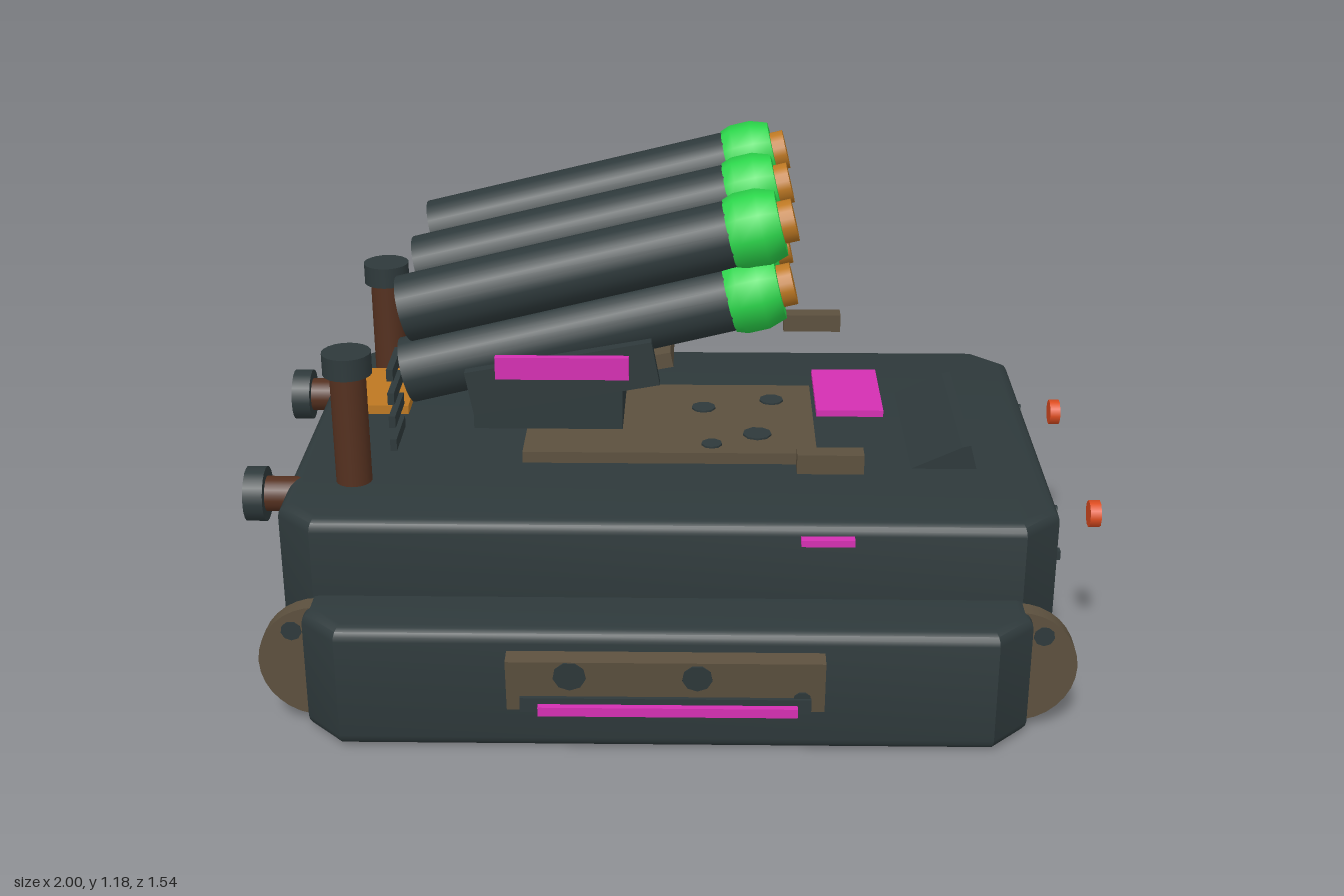
import * as THREE from 'three';
import { toCreasedNormals } from 'three/addons/utils/BufferGeometryUtils.js';

const mat = (name, color) => {
  const m = new THREE.MeshStandardMaterial({ color });
  m.name = name;
  return m;
};

export function createModel() {
  const model = new THREE.Group();
  model.name = 'launcherVehicle';
  const dark = mat('dark slate', 0x2e393b);
  const camo = mat('camo brown', 0x5c503e);
  const green = mat('bright green', 0x2bd44a);
  const magenta = mat('magenta', 0xd42fb2);
  const orange = mat('orange', 0xbd7822);
  const red = mat('red orange', 0xdc4c20);
  const rust = mat('rust brown', 0x54301f);

  const add = (name, geo, material, x, y, z, parent = model) => {
    const m = new THREE.Mesh(geo, material);
    m.name = name;
    m.position.set(x, y, z);
    parent.add(m);
    return m;
  };
  const box = (name, material, w, h, d, x, y, z, parent) =>
    add(name, new THREE.BoxGeometry(w, h, d), material, x, y, z, parent);
  const cyl = (name, material, r, h, x, y, z, parent, sides = 20) =>
    add(name, new THREE.CylinderGeometry(r, r, h, sides), material, x, y, z, parent);

  // Block with cut plan corners and softly rounded top and bottom edges
  const chamferBlock = (w, h, d, cut, bevel) => {
    const a = w / 2 - bevel, b = d / 2 - bevel, c = cut - bevel * 0.6;
    const pts = [[a, b - c], [a - c, b], [c - a, b], [-a, b - c], [-a, c - b], [c - a, -b], [a - c, -b], [a, c - b]];
    const geo = new THREE.ExtrudeGeometry(new THREE.Shape(pts.map((p) => new THREE.Vector2(...p))), {
      depth: h - 2 * bevel, bevelEnabled: true, bevelSize: bevel, bevelThickness: bevel, bevelSegments: 4,
    });
    geo.translate(0, 0, bevel - h / 2);
    geo.rotateX(-Math.PI / 2);
    return toCreasedNormals(geo, 0.6);
  };

  // Hull and belly plate
  add('hull', chamferBlock(1.78, 0.325, 1.06, 0.085, 0.03), dark, -0.01, 0.332, 0);
  box('bellyPlate', dark, 0.78, 0.045, 0.54, 0.03, 0.097, 0);

  // Deck details
  box('deckPlate', camo, 0.7, 0.035, 0.42, -0.01, 0.505, 0);
  [[0.2, 0.1, 0.035], [0.24, -0.11, 0.03], [0.07, -0.06, 0.03], [0.09, 0.16, 0.025]].forEach(([x, z, r]) =>
    cyl('deckSpot', dark, r, 0.006, x, 0.524, z, model, 9));
  const wedge = new THREE.Shape([[0.53, 0.48], [0.72, 0.48], [0.7, 0.555], [0.68, 0.55]].map((p) => new THREE.Vector2(...p)));
  add('deckWedge', new THREE.ExtrudeGeometry(wedge, { depth: 0.46, bevelEnabled: false }), dark, 0, 0, -0.23);
  box('frontHatch', magenta, 0.16, 0.016, 0.26, 0.42, 0.592, 0);
  box('rearHatch', orange, 0.15, 0.022, 0.24, -0.715, 0.59, 0);

  // Launcher mount and its tilted camouflage cradle
  box('mountBox', dark, 0.35, 0.1, 0.45, -0.295, 0.64, 0);
  const cradle = new THREE.Group();
  cradle.name = 'cradle';
  cradle.position.set(-0.232, 0.733, 0);
  cradle.rotation.z = 0.19;
  model.add(cradle);
  box('cradlePlate', camo, 0.465, 0.036, 0.5, 0, 0, 0, cradle);
  [[0.08, -0.11, 0.045], [0.18, 0.11, 0.05], [-0.13, 0.13, 0.03]].forEach(([x, z, r]) =>
    cyl('cradleSpot', dark, r, 0.006, x, 0.019, z, cradle, 9));

  // Six launch tubes: dark barrel, green collar, orange tip
  const collar = new THREE.LatheGeometry(
    [[0.04, 0], [0.079, 0], [0.088, 0.025], [0.088, 0.075], [0.074, 0.117], [0.0, 0.118]].map((p) => new THREE.Vector2(...p)), 10);
  for (const z of [-0.283, 0, 0.283]) {
    for (const y of [0.762, 0.912]) {
      const tube = new THREE.Group();
      tube.name = 'launchTube';
      tube.position.set(-0.61, y, z);
      tube.rotation.z = 0.24 - Math.PI / 2;
      model.add(tube);
      cyl('barrel', dark, 0.076, 0.77, 0, 0.385, 0, tube);
      add('collar', toCreasedNormals(collar, 0.7), green, 0, 0.758, 0, tube);
      cyl('tip', orange, 0.048, 0.05, 0, 0.882, 0, tube, 16);
    }
  }

  // Everything mirrored on both flanks
  for (const s of [1, -1]) {
    // Track pod with a disc at each end
    add('trackPod', chamferBlock(1.64, 0.3, 0.27, 0.085, 0.03), dark, -0.01, 0.157, s * 0.555);
    for (const x of [-0.8, 0.78]) {
      const end = Math.sign(x);
      const disc = cyl('trackDisc', camo, 0.14, 0.046, x, 0.165, s * 0.56, model, 32);
      disc.rotation.x = Math.PI / 2;
      const spot = cyl('discSpot', dark, 0.024, 0.05, x + end * 0.06, 0.245, s * 0.56, model, 9);
      spot.rotation.x = Math.PI / 2;
    }

    // Leaning side skirt with spots and trim
    const skirt = new THREE.Group();
    skirt.name = 'sideSkirt';
    skirt.position.set(-0.01, 0.207, s * 0.727);
    skirt.rotation.x = s * 0.1;
    model.add(skirt);
    box('skirtPlate', camo, 0.7, 0.128, 0.042, 0, 0, 0, skirt);
    for (const [x, y, r] of [[-0.21, 0.028, 0.046], [0.07, 0.025, 0.042], [0.3, -0.03, 0.025]]) {
      cyl('skirtSpot', dark, r * 0.8, 0.006, x, y, s * 0.021, skirt, 9).rotation.x = Math.PI / 2;
    }
    box('skirtRail', dark, 0.64, 0.035, 0.034, -0.01, 0.161, s * 0.738);
    box('skirtStrip', magenta, 0.57, 0.022, 0.016, -0.005, 0.153, s * 0.762);

    // Floating side panel and markers
    box('sidePanel', dark, 0.41, 0.1, 0.025, -0.235, 0.855, s * 0.547).rotation.z = 0.18;
    box('panelMarker', magenta, 0.285, 0.05, 0.016, -0.232, 0.895, s * 0.592);
    box('hullMarker', magenta, 0.12, 0.016, 0.024, 0.35, 0.458, s * 0.54);
    box('deckBlock', camo, 0.15, 0.046, 0.045, 0.355, 0.612, s * 0.443);

    // Front lamps and bolts
    cyl('lamp', red, 0.032, 0.026, 0.987, 0.414, s * 0.3, model, 10).rotation.z = Math.PI / 2;
    cyl('lampMount', dark, 0.02, 0.03, 0.885, 0.414, s * 0.3, model, 10).rotation.z = Math.PI / 2;
    box('bolt', dark, 0.05, 0.022, 0.022, 0.89, 0.308, s * 0.3);

    // Rear stacks and exhausts
    cyl('stack', rust, 0.042, 0.3, -0.745, 0.63, s * 0.31);
    cyl('stackCap', dark, 0.057, 0.052, -0.745, 0.79, s * 0.31);
    cyl('exhaust', rust, 0.042, 0.16, -0.88, 0.452, s * 0.3).rotation.z = Math.PI / 2;
    cyl('exhaustCap', dark, 0.065, 0.046, -0.977, 0.452, s * 0.3).rotation.z = Math.PI / 2;
    for (let i = 0; i < 4; i++) {
      box('ventSlat', dark, 0.015, 0.028, 0.14, -0.637, 0.615 + i * 0.057, s * 0.31);
    }
  }
  return model;
}
